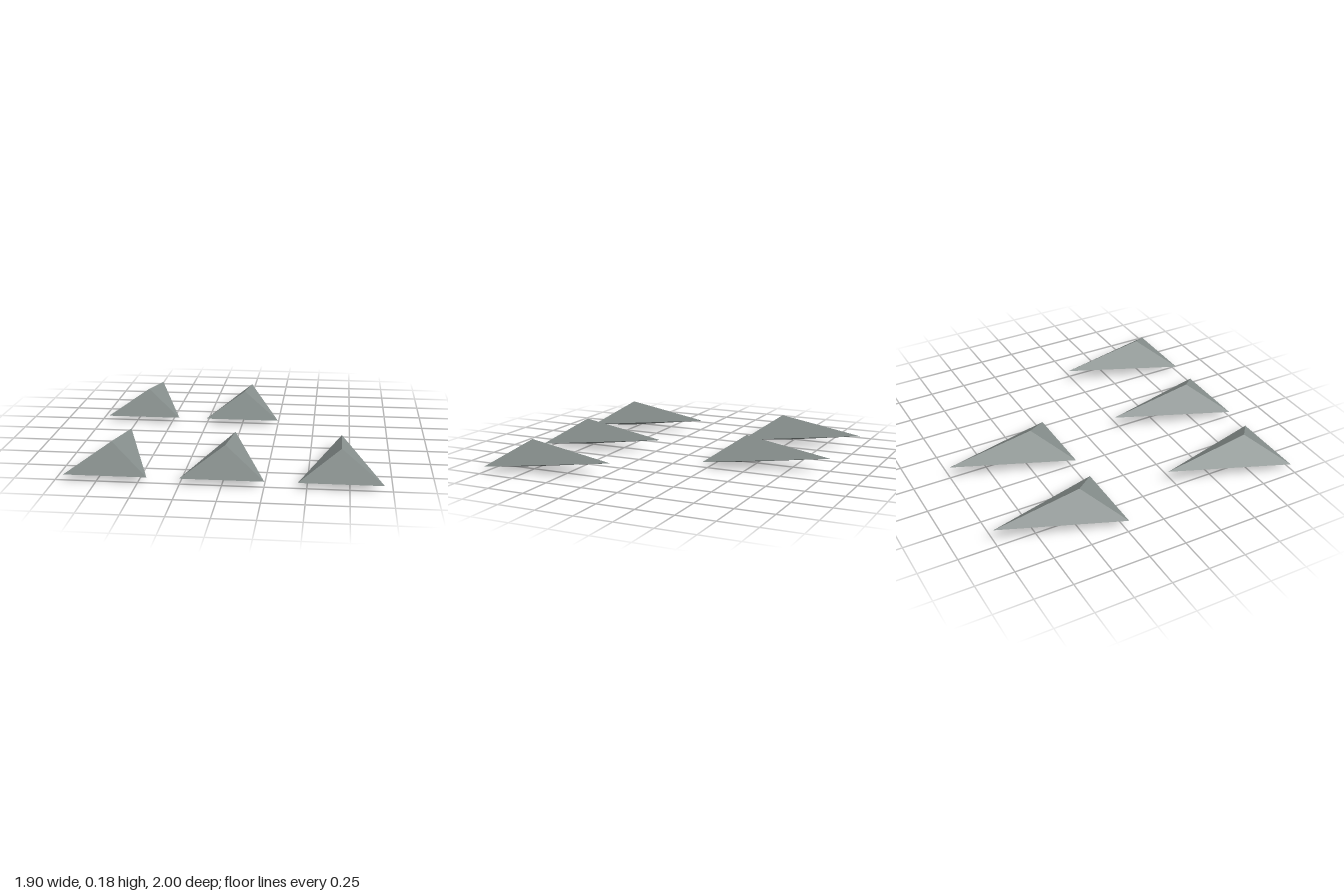
import * as THREE from 'three';

// Faceted dart: nose at the back, wide tail edge at the front, ridge above and keel below
function dartGeometry() {
  const nose = [0, 0.083, -0.392];
  const left = [0.252, 0.034, 0.392];
  const right = [-0.252, 0.034, 0.392];
  const ridge = [0, 0.183, 0.185];
  const keel = [0, 0, 0.185];
  const faces = [
    [right, left, ridge], [left, nose, ridge], [nose, right, ridge],
    [left, right, keel], [nose, left, keel], [right, nose, keel],
  ];
  const geometry = new THREE.BufferGeometry();
  geometry.setAttribute('position', new THREE.Float32BufferAttribute(faces.flat(2), 3));
  geometry.computeVertexNormals();
  return geometry;
}

export function createModel() {
  const model = new THREE.Group();
  model.name = 'dartFormation';
  const grey = new THREE.MeshStandardMaterial({ color: 0x848c8a, flatShading: true });
  grey.name = 'slateGrey';
  const geometry = dartGeometry();

  // Three darts in the front row, two in the back row (the back left place is empty)
  const rows = [
    { name: 'frontDart', z: 0.608, xs: [-0.698, 0, 0.698] },
    { name: 'backDart', z: -0.608, xs: [-0.698, 0] },
  ];
  for (const row of rows) {
    row.xs.forEach((x, i) => {
      const dart = new THREE.Mesh(geometry, grey);
      dart.name = row.name + (i + 1);
      dart.position.set(x, 0, row.z);
      model.add(dart);
    });
  }
  return model;
}
